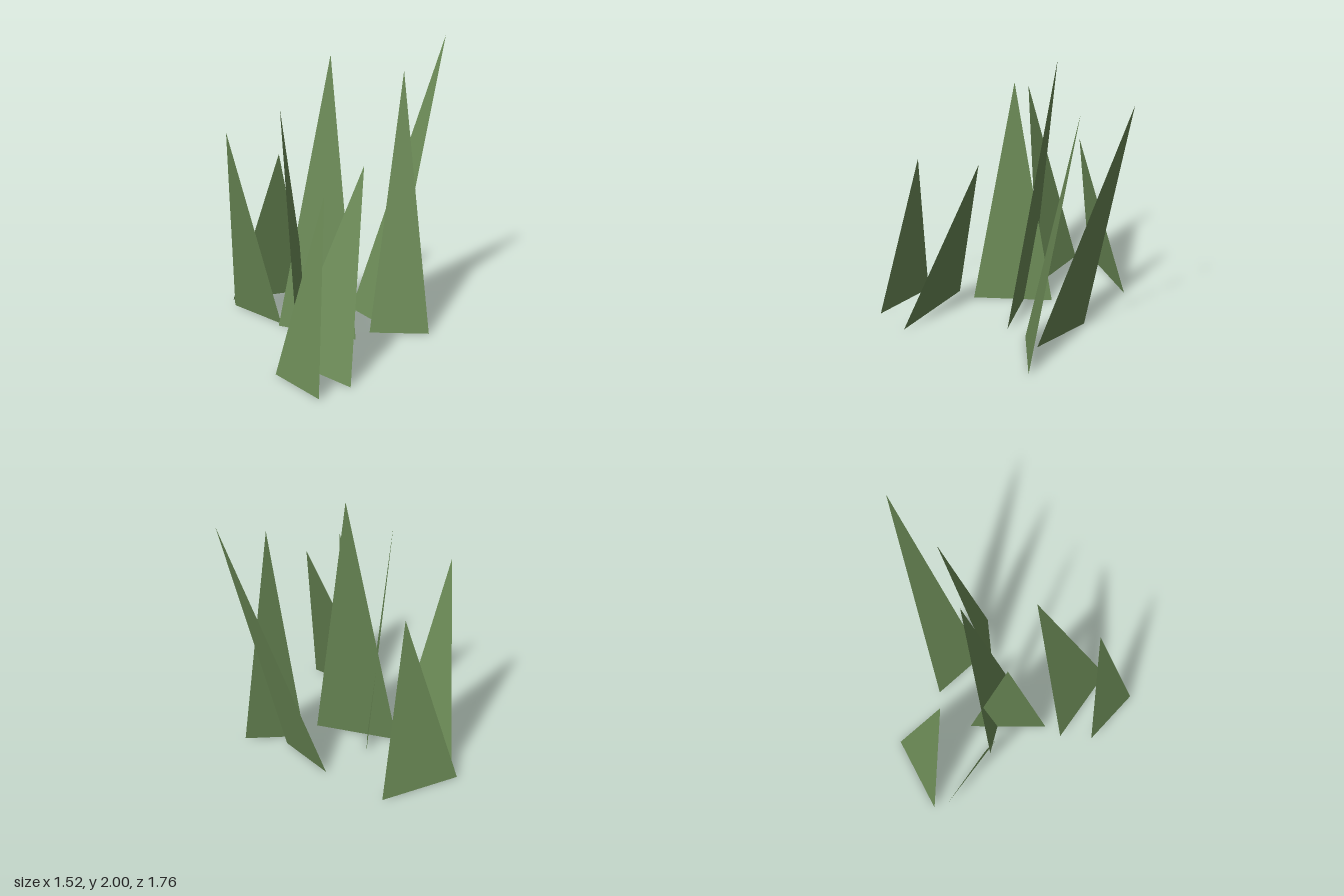
import * as THREE from 'three';

// Each blade: base corner [x, z], base corner [x, z], tip [x, y, z]
const BLADES = [
  [[-0.76, -0.41], [-0.31, -0.75], [-0.38, 1.18, -0.38]],
  [[-0.71, -0.32], [-0.28, -0.12], [-0.61, 1.43, 0.03]],
  [[0.12, -0.535], [0.46, -0.275], [0.68, 2.0, -0.88]],
  [[0.36, -0.17], [0.76, -0.28], [0.475, 1.81, -0.53]],
  [[-0.285, -0.08], [0.3, -0.03], [0.025, 1.94, -0.295]],
  [[-0.015, 0.29], [-0.105, -0.26], [-0.22, 1.635, 0.04]],
  [[-0.07, 0.41], [0.47, 0.665], [0.39, 1.325, 0.135]],
  [[-0.05, 0.64], [0.325, 0.88], [0.26, 1.245, 0.58]],
];

// One flat triangular blade, leaning from its base edge to its tip
function bladeGeometry(a, b, tip) {
  const geometry = new THREE.BufferGeometry();
  const corners = [a[0], 0, a[1], b[0], 0, b[1], ...tip];
  geometry.setAttribute('position', new THREE.Float32BufferAttribute(corners, 3));
  geometry.computeVertexNormals();
  return geometry;
}

export function createModel() {
  const grass = new THREE.MeshStandardMaterial({ color: 0x6b8a56, side: THREE.DoubleSide });
  grass.name = 'grassGreen';

  const tuft = new THREE.Group();
  tuft.name = 'grassTuft';
  BLADES.forEach(([a, b, tip], i) => {
    const blade = new THREE.Mesh(bladeGeometry(a, b, tip), grass);
    blade.name = `grassBlade${i + 1}`;
    tuft.add(blade);
  });
  return tuft;
}
